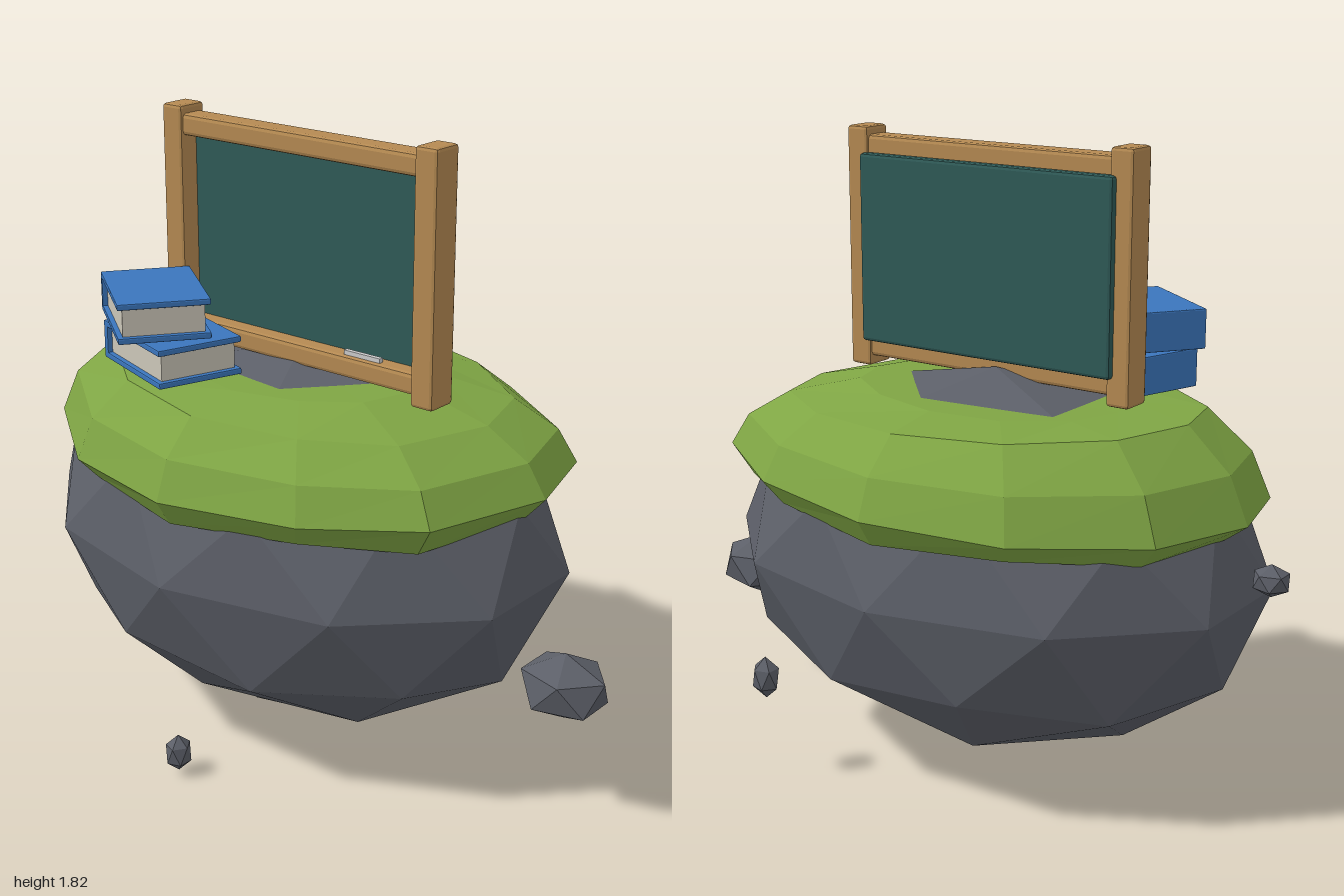
import * as THREE from 'three';
import { RoundedBoxGeometry } from 'three/addons/geometries/RoundedBoxGeometry.js';

const mat = (color, flatShading = true) => new THREE.MeshStandardMaterial({ color, flatShading, roughness: 0.9 });
const STONE = mat(0x5c5f68), GRASS = mat(0x7fa544), WOOD = mat(0xb58a52), BOARD = mat(0x2f5a57);
const BLUE = mat(0x3b76bd), PAPER = mat(0xcbc6b8), CHALK = mat(0xe8e8e8);

function add(parent, name, geometry, material, x = 0, y = 0, z = 0) {
  const mesh = new THREE.Mesh(geometry, material);
  mesh.name = name;
  mesh.position.set(x, y, z);
  parent.add(mesh);
  return mesh;
}

// Faceted stone: icosphere with its poles on the y axis, stretched to three radii
function stone(parent, name, detail, [x, y, z], [rx, ry, rz]) {
  const g = new THREE.IcosahedronGeometry(1, detail);
  g.rotateX(-Math.atan((1 + Math.sqrt(5)) / 2));
  g.rotateY(Math.PI / 2);
  g.scale(rx, ry, rz);
  return add(parent, name, g, STONE, x, y, z);
}

// Turf cap: one irregular outline repeated at several heights and scales
function turfGeometry() {
  const cx = -0.05;
  const outline = [
    [-0.05, -0.63], [-0.465, -0.555], [-0.77, -0.32], [-0.875, -0.02], [-0.81, 0.24], [-0.45, 0.52],
    [-0.04, 0.62], [0.37, 0.53], [0.66, 0.34], [0.775, -0.02], [0.69, -0.31], [0.37, -0.53],
  ];
  // scale, height, tilt along x
  const rings = [[0.78, 0.83, 0], [0.92, 0.81, 0.01], [1, 0.88, 0.025], [0.93, 0.99, 0], [0.77, 1.085, -0.025], [0.5, 1.112, 0.01]];
  const n = outline.length, pos = [], idx = [];
  rings.forEach(([s, y, tilt], i) => outline.forEach(([x, z], j) => {
    const wave = i === 1 ? 0.008 * (j % 2 ? 1 : -1) : 0;
    pos.push(cx + (x - cx) * s, y + tilt * x + wave, z * s);
  }));
  const last = rings.length - 1, top = rings.length * n;
  pos.push(cx, 1.11, 0, cx, 0.83, 0);
  for (let j = 0; j < n; j++) {
    const k = (j + 1) % n;
    for (let i = 0; i < last; i++) {
      const a = i * n + j, b = i * n + k;
      idx.push(a, b, b + n, a, b + n, a + n);
    }
    idx.push(last * n + j, last * n + k, top, k, j, top + 1);
  }
  const g = new THREE.BufferGeometry();
  g.setAttribute('position', new THREE.Float32BufferAttribute(pos, 3));
  g.setIndex(idx);
  const flat = g.toNonIndexed();
  flat.computeVertexNormals();
  return flat;
}

// Closed book: two covers, a spine at -x and a recessed page block
function book(parent, name, x, y, z, turn, height) {
  const g = new THREE.Group(), L = 0.343, W = 0.26, t = 0.018;
  g.name = name;
  for (const cy of [t / 2, height - t / 2]) add(g, 'cover', new RoundedBoxGeometry(L, t, W, 1, 0.004), BLUE, 0, cy, 0);
  add(g, 'spine', new RoundedBoxGeometry(0.022, height, W, 1, 0.004), BLUE, -L / 2 + 0.011, height / 2, 0);
  add(g, 'pages', new THREE.BoxGeometry(L - 0.03, height - 2 * t, W - 0.03), PAPER, 0, height / 2, 0);
  g.position.set(x, y, z);
  g.rotation.y = turn;
  parent.add(g);
}

export function createModel() {
  const model = new THREE.Group();
  model.name = 'floatingClassroomIsland';

  // Island body and its lower tip
  stone(model, 'islandRock', 1, [-0.05, 0.62, 0], [0.85, 0.553, 0.61]);
  stone(model, 'lowerTip', 0, [0.01, 0.18, 0], [0.28, 0.18, 0.235]);
  add(model, 'turf', turfGeometry(), GRASS);

  // Loose floating stones
  [
    [[0.875, 0.387, 0], [0.14, 0.098, 0.12]],
    [[-0.95, 0.725, -0.02], [0.056, 0.046, 0.05]],
    [[-0.065, 0.068, 0.54], [0.039, 0.057, 0.042]],
    [[0.36, 0.312, -0.558], [0.044, 0.063, 0.04]],
  ].forEach(([p, r]) => stone(model, 'floatingStone', 0, p, r));

  // Chalkboard in a wooden frame
  const board = new THREE.Group();
  board.name = 'chalkboard';
  model.add(board);
  for (const x of [-0.45, 0.445]) {
    add(board, 'post', new RoundedBoxGeometry(0.074, 0.71, 0.096, 1, 0.01), WOOD, x, 1.465, 0.052);
  }
  for (const y of [1.765, 1.17]) {
    add(board, 'rail', new RoundedBoxGeometry(0.85, 0.062, 0.08, 1, 0.012), WOOD, 0, y, 0.052);
  }
  add(board, 'panel', new RoundedBoxGeometry(0.86, 0.555, 0.055, 1, 0.01), BOARD, -0.005, 1.467, 0.0125);
  add(board, 'chalk', new THREE.BoxGeometry(0.125, 0.014, 0.014), CHALK, 0.225, 1.207, 0.07);

  // Stacked books
  book(model, 'lowerBook', -0.313, 1.115, 0.265, -0.32, 0.112);
  book(model, 'upperBook', -0.348, 1.238, 0.292, -0.64, 0.115);

  return model;
}
